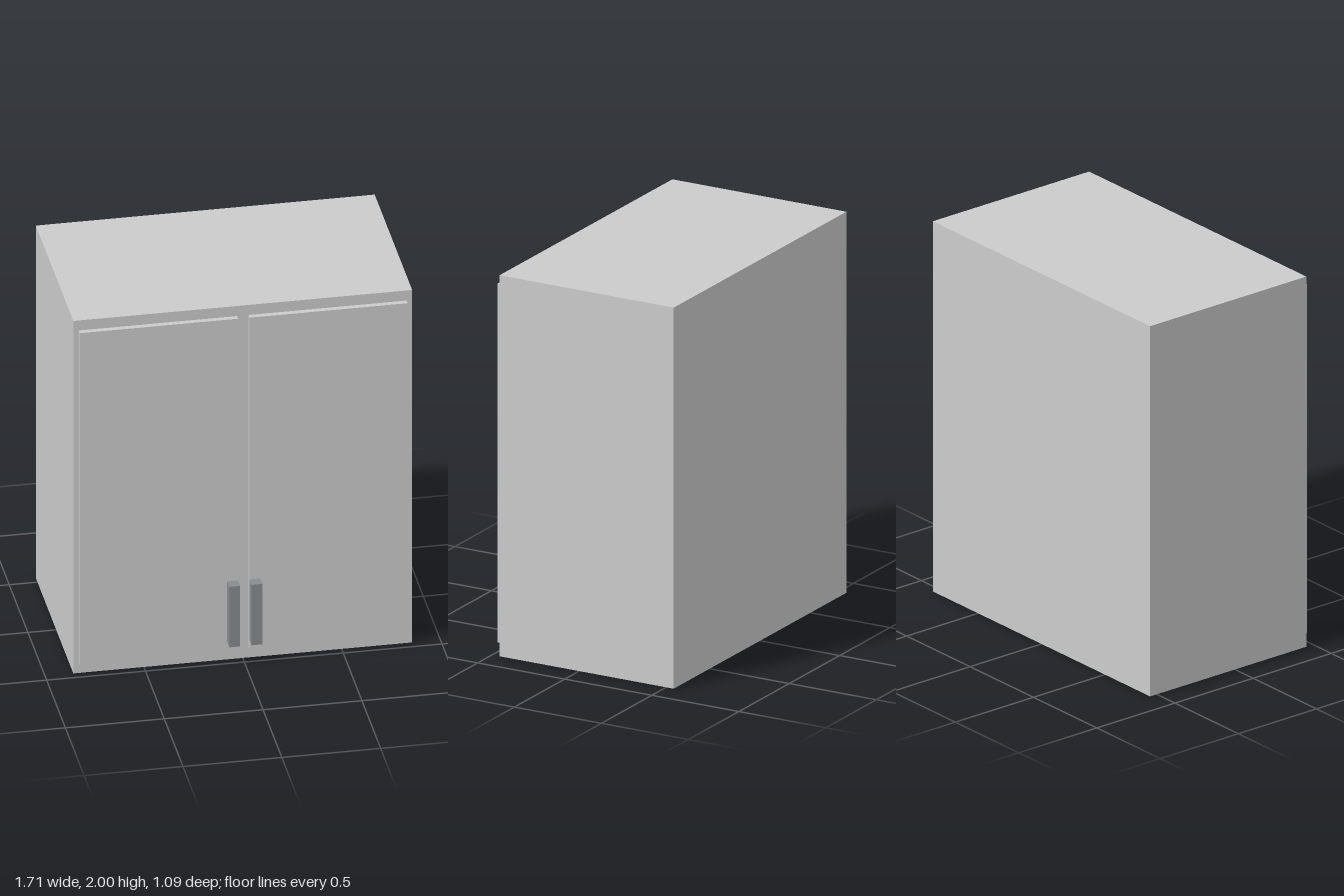
import * as THREE from 'three';

const grey = new THREE.MeshStandardMaterial({ color: 0xcccccc });
const metal = new THREE.MeshStandardMaterial({ color: 0x868c8f });

// Box given by its minimum and maximum corners
function box(name, [x0, y0, z0], [x1, y1, z1], material) {
  const geometry = new THREE.BoxGeometry(x1 - x0, y1 - y0, z1 - z0);
  const mesh = new THREE.Mesh(geometry, material);
  mesh.name = name;
  mesh.position.set((x0 + x1) / 2, (y0 + y1) / 2, (z0 + z1) / 2);
  return mesh;
}

export function createModel() {
  const cabinet = new THREE.Group();
  cabinet.name = 'wallCabinet';

  const front = 0.457, doorFront = 0.485;
  cabinet.add(box('carcass', [-0.857, 0, -0.543], [0.857, 2, front], grey));

  // Mirrored pair of doors, each with a bar handle flush with its inner edge
  for (const [side, s] of [['left', 1], ['right', -1]]) {
    const span = (a, b) => (s > 0 ? [a, b] : [-b, -a]);
    const [d0, d1] = span(0.029, 0.829);
    const [h0, h1] = span(0.029, 0.084);
    cabinet.add(
      box(side + 'Door', [d0, 0.06, front], [d1, 1.943, doorFront], grey),
      box(side + 'Handle', [h0, 0.115, doorFront], [h1, 0.458, 0.543], metal)
    );
  }
  return cabinet;
}
